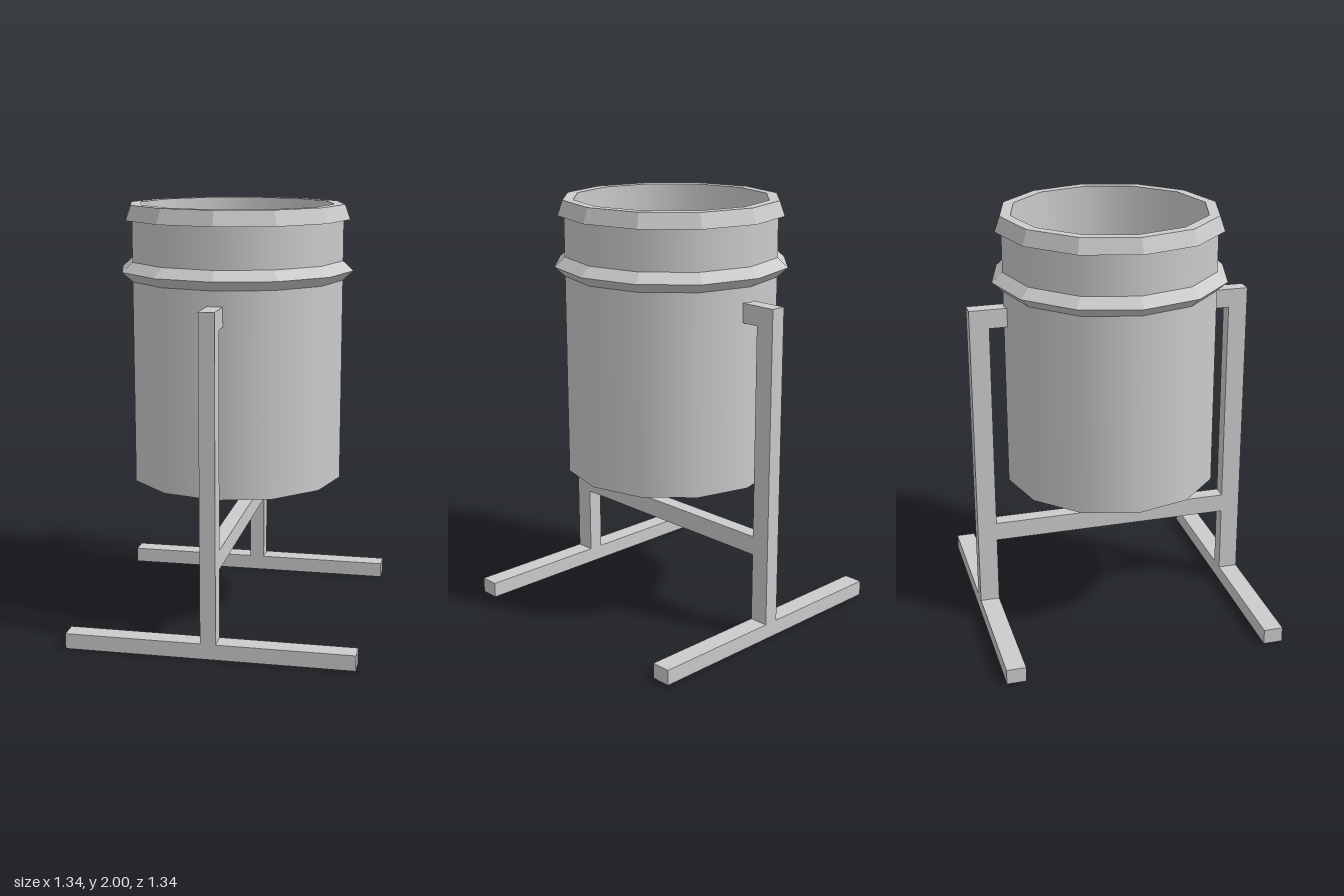
import * as THREE from 'three';

export function createModel() {
  const model = new THREE.Group();
  const SIDES = 12;
  const flat = new THREE.MeshStandardMaterial({ color: 0xcccccc, flatShading: true });
  const flatOpen = new THREE.MeshStandardMaterial({ color: 0xcccccc, flatShading: true, side: THREE.DoubleSide });
  const smoothOpen = new THREE.MeshStandardMaterial({ color: 0xcccccc, side: THREE.DoubleSide });

  function add(name, geometry, material, parent = model) {
    const mesh = new THREE.Mesh(geometry, material);
    mesh.name = name;
    parent.add(mesh);
    return mesh;
  }

  // Twelve-sided ring from [radius, height] pairs
  const lathe = (points) =>
    new THREE.LatheGeometry(points.map(([r, y]) => new THREE.Vector2(r, y)), SIDES);

  // Box given by its limits on each axis
  function box(name, [x0, x1], [y0, y1], [z0, z1], parent) {
    const geometry = new THREE.BoxGeometry(x1 - x0, y1 - y0, z1 - z0);
    geometry.translate((x0 + x1) / 2, (y0 + y1) / 2, (z0 + z1) / 2);
    return add(name, geometry, flat, parent);
  }

  // Bin: outer wall, raised band and flared rim
  const bin = new THREE.Group();
  bin.name = 'bin';
  model.add(bin);
  add('outerWall', lathe([[0.505, 0.7], [0.505, 1.96]]), smoothOpen, bin);
  add('band', lathe([[0.505, 1.65], [0.555, 1.695], [0.505, 1.74]]), flatOpen, bin);
  add('rim', lathe([[0.505, 1.93], [0.535, 1.93], [0.51, 2], [0.46, 2]]), flatOpen, bin);

  // Inner wall: twelve corners at the mouth narrowing to a six-sided floor
  const INNER = 0.46, FLOOR = 0.72;
  const positions = [], normals = [];
  function corner(step, y) {
    const a = (step * Math.PI) / 6;
    positions.push(INNER * Math.cos(a), y, INNER * Math.sin(a));
    normals.push(-Math.cos(a), 0, -Math.sin(a));
  }
  for (let s = 0; s < SIDES; s += 2) {
    corner(s, 2); corner(s, FLOOR); corner(s + 1, 2);
    corner(s + 1, 2); corner(s, FLOOR); corner(s + 2, FLOOR);
    corner(s + 1, 2); corner(s + 2, FLOOR); corner(s + 2, 2);
  }
  const inner = new THREE.BufferGeometry();
  inner.setAttribute('position', new THREE.Float32BufferAttribute(positions, 3));
  inner.setAttribute('normal', new THREE.Float32BufferAttribute(normals, 3));
  add('innerWall', inner, smoothOpen, bin);
  const floor = new THREE.CircleGeometry(INNER, 6).rotateX(-Math.PI / 2).translate(0, FLOOR, 0);
  add('binFloor', floor, flatOpen, bin);

  // Stand: a foot, post and pivot arm at front and back
  const HALF = 0.036;
  for (const [name, side] of [['frontSupport', 1], ['backSupport', -1]]) {
    const support = new THREE.Group();
    support.name = name;
    const span = (a, b) => (side > 0 ? [a, b] : [-b, -a]);
    box('foot', [-0.67, 0.67], [0, 0.073], span(0.58, 0.672), support);
    box('post', [-HALF, HALF], [0.073, 1.58], span(0.58, 0.672), support);
    box('pivotArm', [-HALF, HALF], [1.49, 1.58], span(0.495, 0.58), support);
    model.add(support);
  }

  // Cross beam joining the posts
  box('crossBeam', [-HALF, HALF], [0.4, 0.49], [-0.58, 0.58]);

  return model;
}
